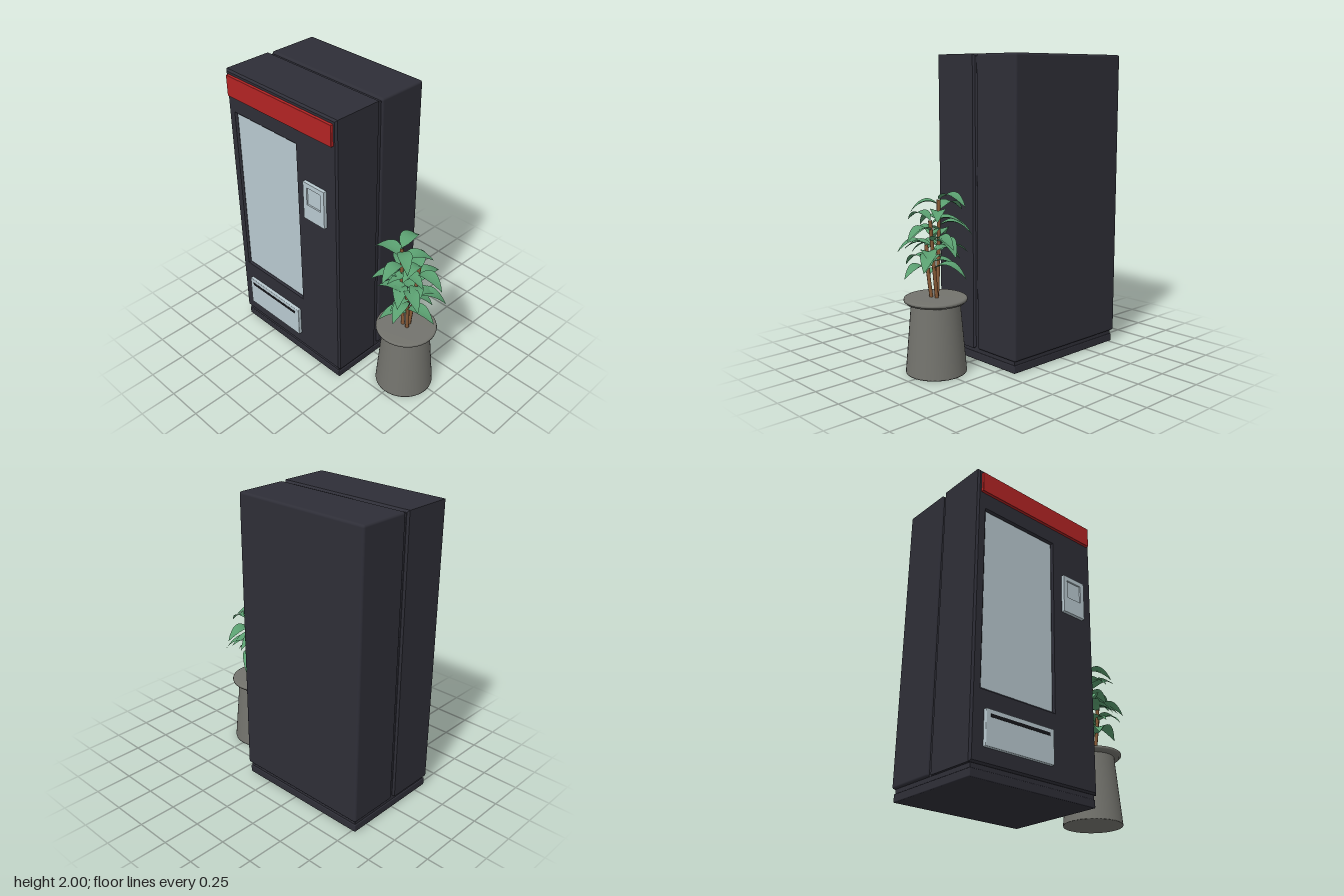
import * as THREE from 'three';
import { RoundedBoxGeometry } from 'three/addons/geometries/RoundedBoxGeometry.js';

const material = (name, color, side = THREE.FrontSide) => {
  const m = new THREE.MeshStandardMaterial({ color, side });
  m.name = name;
  return m;
};

export function createModel() {
  const casing = material('charcoal casing', 0x2e2e37);
  const dark = material('black slot', 0x16161a);
  const red = material('red sign', 0xb32424);
  const glass = material('pale blue grey', 0xb9c9d0);
  const stone = material('grey pot', 0x73736d);
  const bark = material('brown stem', 0x8a5c38);
  const green = material('green leaf', 0x5a9f70, THREE.DoubleSide);

  const root = new THREE.Group();
  const machine = new THREE.Group();
  machine.name = 'vendingMachine';
  const plant = new THREE.Group();
  plant.name = 'pottedPlant';
  plant.position.set(0.5, 0, 0.03);
  root.add(machine, plant);

  const add = (parent, name, geometry, mat) => {
    const mesh = new THREE.Mesh(geometry, mat);
    mesh.name = name;
    parent.add(mesh);
    return mesh;
  };
  // Box given by its limits on each axis, with optional rounded edges
  const block = (name, [x0, x1], [y0, y1], [z0, z1], mat, r = 0) => {
    const s = [x1 - x0, y1 - y0, z1 - z0];
    const g = r ? new RoundedBoxGeometry(...s, 2, r) : new THREE.BoxGeometry(...s);
    add(machine, name, g, mat).position.set((x0 + x1) / 2, (y0 + y1) / 2, (z0 + z1) / 2);
  };
  const rect = (p, x0, x1, y0, y1) =>
    p.moveTo(x0, y0).lineTo(x1, y0).lineTo(x1, y1).lineTo(x0, y1).closePath();

  // Plinth, inner core and rear cabinet
  block('plinth', [-0.775, 0.187], [0, 0.052], [-0.365, 0.348], casing, 0.006);
  block('plinthStep', [-0.768, 0.18], [0.05, 0.09], [-0.358, 0.342], casing);
  block('core', [-0.77, 0.185], [0.08, 1.985], [-0.2, 0.2], casing);
  block('rearCabinet', [-0.785, 0.197], [0.08, 2], [-0.378, -0.02], casing, 0.016);

  // Front cabinet with chamfered edges and a window opening
  const b = 0.012;
  const face = rect(new THREE.Shape(), -0.785, 0.197, 0.08, 2);
  face.holes.push(rect(new THREE.Path(), -0.715, -0.16, 0.525, 1.71));
  const front = new THREE.ExtrudeGeometry(face, {
    depth: 0.357 - 2 * b, bevelThickness: b, bevelSize: b, bevelOffset: -b, bevelSegments: 1,
  });
  front.translate(0, 0, b);
  add(machine, 'frontCabinet', front, casing);
  block('window', [-0.715, -0.16], [0.525, 1.71], [0.32, 0.343], glass);
  block('sign', [-0.76, 0.173], [1.83, 1.972], [0.34, 0.376], red, 0.004);

  // Payment panel: frame around a sunken plate with a small reader
  const panel = rect(new THREE.Shape(), -0.076, 0.106, 1.235, 1.5);
  panel.holes.push(rect(new THREE.Path(), -0.045, 0.075, 1.345, 1.468));
  const frame = new THREE.ExtrudeGeometry(panel, { depth: 0.026, bevelEnabled: false });
  frame.translate(0, 0, 0.354);
  add(machine, 'paymentFrame', frame, glass);
  block('paymentPlate', [-0.05, 0.08], [1.34, 1.47], [0.35, 0.37], glass);

  // Delivery tray and its slot
  block('deliveryTray', [-0.695, -0.18], [0.18, 0.4], [0.34, 0.38], glass, 0.005);
  block('deliverySlot', [-0.662, -0.214], [0.352, 0.372], [0.375, 0.382], dark);

  // Pot: tapered body and overhanging rim
  const lathe = (points) =>
    new THREE.LatheGeometry(points.map(([x, y]) => new THREE.Vector2(x, y)), 40);
  add(plant, 'pot', lathe([[0, 0], [0.194, 0], [0.195, 0.006], [0.155, 0.46]]), stone);
  add(plant, 'potRim', lathe([[0.15, 0.455], [0.188, 0.455], [0.19, 0.464], [0.2, 0.466],
    [0.202, 0.475], [0.2, 0.483], [0.19, 0.487], [0, 0.487]]), stone);

  // Leaf: folded, pointed blade arching out along +x
  const leafGeometry = () => {
    const rows = 9, pos = [], index = [];
    for (let i = 0; i <= rows; i++) {
      const t = i / rows;
      const w = 0.05 * Math.pow(Math.sin(Math.PI * Math.pow(t, 0.8)), 0.85) + 0.002 * (1 - t);
      const y = 0.2 * (0.72 * t - 0.98 * t * t);
      const x = 0.215 * (t - 0.06 * t * t);
      pos.push(x, y + w * 0.3, -w, x, y, 0, x, y + w * 0.3, w);
      if (i === rows) break;
      for (const c of [0, 1]) {
        const a = i * 3 + c;
        index.push(a, a + 1, a + 3, a + 1, a + 4, a + 3);
      }
    }
    const g = new THREE.BufferGeometry();
    g.setAttribute('position', new THREE.Float32BufferAttribute(pos, 3));
    g.setIndex(index);
    g.computeVertexNormals();
    return g;
  };
  const leaf = leafGeometry();

  // Stems with leaves spiralling around them
  const stems = [
    { base: [-0.02, 0.01], top: [-0.05, 1.1, 0.02], from: 0.42, leaves: 12, turn: 0.5 },
    { base: [0.005, -0.02], top: [0.06, 0.99, -0.03], from: 0.4, leaves: 10, turn: 2.1 },
    { base: [0.02, 0.015], top: [0.03, 0.82, 0.05], from: 0.45, leaves: 7, turn: 4 },
  ];
  for (const { base, top, from, leaves, turn } of stems) {
    const start = new THREE.Vector3(base[0], 0.47, base[1]);
    const end = new THREE.Vector3(...top);
    const middle = start.clone().lerp(end, 0.5).add(new THREE.Vector3(base[0] * 0.3, 0, 0));
    const curve = new THREE.CatmullRomCurve3([start, middle, end]);
    add(plant, 'stem', new THREE.TubeGeometry(curve, 10, 0.012, 8), bark);
    for (let i = 0; i < leaves; i++) {
      const t = i / (leaves - 1);
      const mesh = add(plant, 'leaf', leaf, green);
      mesh.position.copy(curve.getPoint(from + (1 - from) * t));
      mesh.rotation.set(0, turn + i * 2.4, 0.12 * Math.sin(i * 1.7) + 0.12 * t);
      mesh.scale.setScalar(0.98 + 0.08 * Math.sin(i * 2.3 + turn));
    }
  }
  return root;
}
